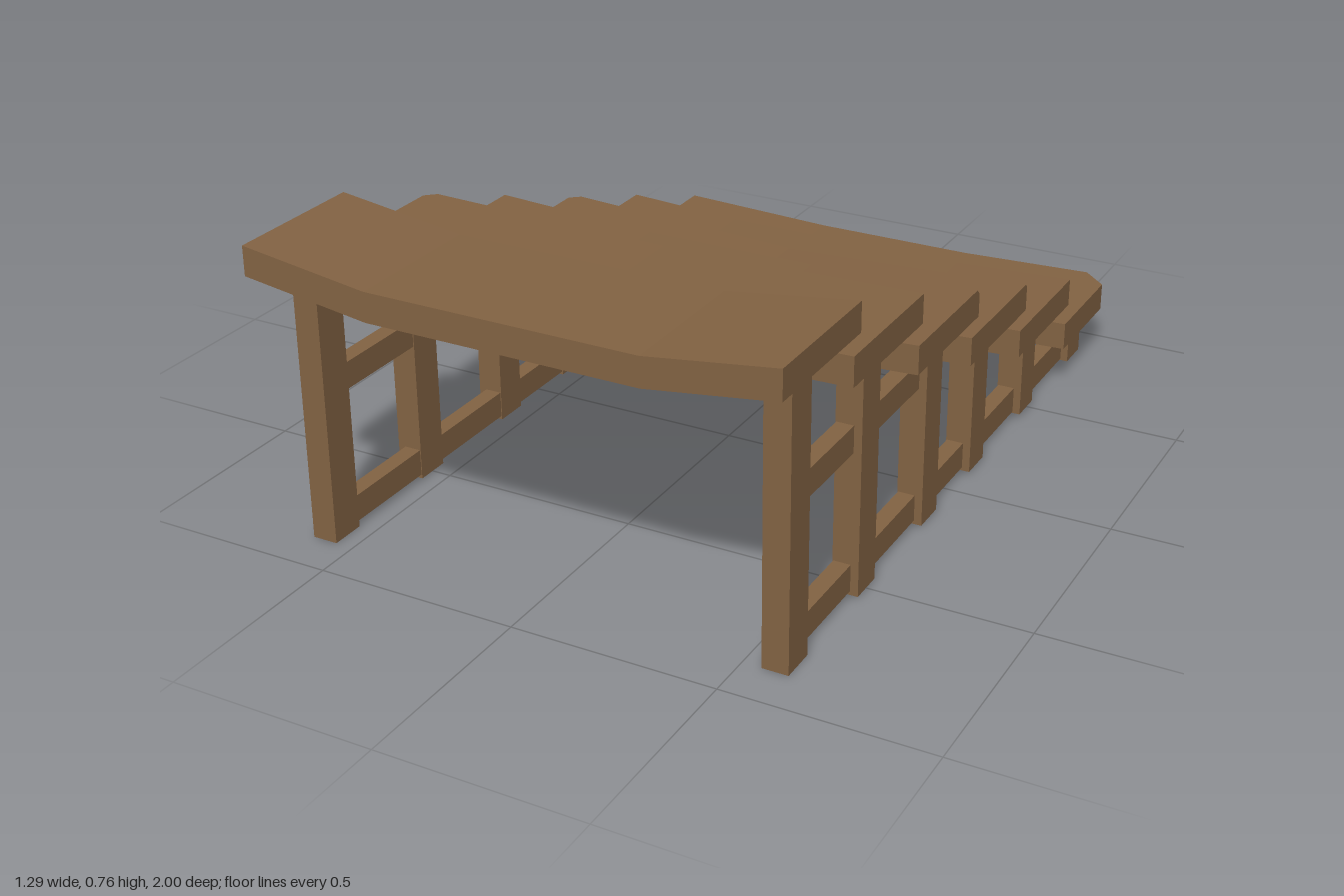
import * as THREE from 'three';

const HALF = 0.643;   // half width of every tread
const THICK = 0.071;  // tread thickness

// front, back: z of the two long edges; end, mid: top height at the ends and in the middle
// flat: half width of the level middle; cutL, cutR: clipped back corners at -x and +x; bevel: top back edge
const TREADS = [
  { front: 1.0, back: 0.645, end: 0.76, mid: 0.717, flat: 0.33 },
  { front: 0.675, back: 0.32, end: 0.648, mid: 0.633, flat: 0, cutL: 0.025 },
  { front: 0.335, back: -0.015, end: 0.53, mid: 0.51, flat: 0.22, bevel: 0.014 },
  { front: 0.02, back: -0.335, end: 0.418, mid: 0.388, flat: 0, cutL: 0.025, bevel: 0.008 },
  { front: -0.305, back: -0.66, end: 0.303, mid: 0.288, flat: 0.33 },
  { front: -0.645, back: -1.0, end: 0.183, mid: 0.168, flat: 0.22, cutR: 0.066 },
];

// Posts: [centre z, foot y, top y]
const POSTS = [
  [0.845, 0, 0.688], [0.505, 0.004, 0.58], [0.155, 0.005, 0.46],
  [-0.137, 0.006, 0.35], [-0.475, 0.01, 0.235], [-0.828, 0.01, 0.115],
];

// Sagging plank lofted from cross-sections along x
function treadGeometry({ front, back, end, mid, flat, cutL = 0, cutR = 0, bevel = 0 }) {
  const xs = [...new Set([-HALF, -HALF + cutL, -flat, flat, HALF - cutR, HALF].map((x) => x + 0))];
  const sections = xs.map((x) => {
    const y = mid + (end - mid) * Math.max(0, Math.abs(x) - flat) / (HALF - flat);
    const cut = x === -HALF ? cutL : x === HALF ? cutR : 0;
    const zb = back + cut;
    const loop = [[front, y - THICK], [front, y], [zb + bevel, y]];
    if (bevel) loop.push([zb, y - bevel]);
    loop.push([zb, y - THICK]);
    return loop.map(([z, py]) => [x, py, z]);
  });
  const n = sections[0].length;
  const pos = [];
  const tri = (a, b, c) => pos.push(...a, ...b, ...c);
  for (let i = 0; i < sections.length - 1; i++) {
    for (let j = 0; j < n; j++) {
      const k = (j + 1) % n;
      const a = sections[i][j], b = sections[i][k];
      const c = sections[i + 1][k], d = sections[i + 1][j];
      tri(a, d, c);
      tri(a, c, b);
    }
  }
  // End grain caps
  const first = sections[0], last = sections[sections.length - 1];
  for (let k = 1; k < n - 1; k++) {
    tri(first[0], first[k], first[k + 1]);
    tri(last[0], last[k + 1], last[k]);
  }
  const geo = new THREE.BufferGeometry();
  geo.setAttribute('position', new THREE.Float32BufferAttribute(pos, 3));
  geo.computeVertexNormals();
  return geo;
}

export function createModel() {
  const wood = new THREE.MeshStandardMaterial({ color: 0x836343 });
  wood.name = 'brown wood';
  const model = new THREE.Group();
  model.name = 'woodenSteps';

  const treads = new THREE.Group();
  treads.name = 'treads';
  TREADS.forEach((t, i) => {
    const mesh = new THREE.Mesh(treadGeometry(t), wood);
    mesh.name = `tread${i + 1}`;
    treads.add(mesh);
  });
  model.add(treads);

  // Box given by its extents
  const beam = (parent, name, x0, x1, y0, y1, z0, z1) => {
    const mesh = new THREE.Mesh(new THREE.BoxGeometry(x1 - x0, y1 - y0, z1 - z0), wood);
    mesh.position.set((x0 + x1) / 2, (y0 + y1) / 2, (z0 + z1) / 2);
    mesh.name = name;
    parent.add(mesh);
  };

  // Side frames: posts with two rails along the inner side
  for (const side of [-1, 1]) {
    const frame = new THREE.Group();
    frame.name = side > 0 ? 'leftFrame' : 'rightFrame';
    const span = (a, b) => (side > 0 ? [a, b] : [-b, -a]);
    POSTS.forEach(([z, y0, y1], i) =>
      beam(frame, `post${i + 1}`, ...span(0.546, 0.609), y0, y1, z - 0.044, z + 0.044));
    beam(frame, 'lowerRail', ...span(0.548, 0.59), 0.014, 0.08, -0.868, 0.82);
    beam(frame, 'upperRail', ...span(0.548, 0.59), 0.355, 0.421, 0.115, 0.82);
    model.add(frame);
  }
  return model;
}
